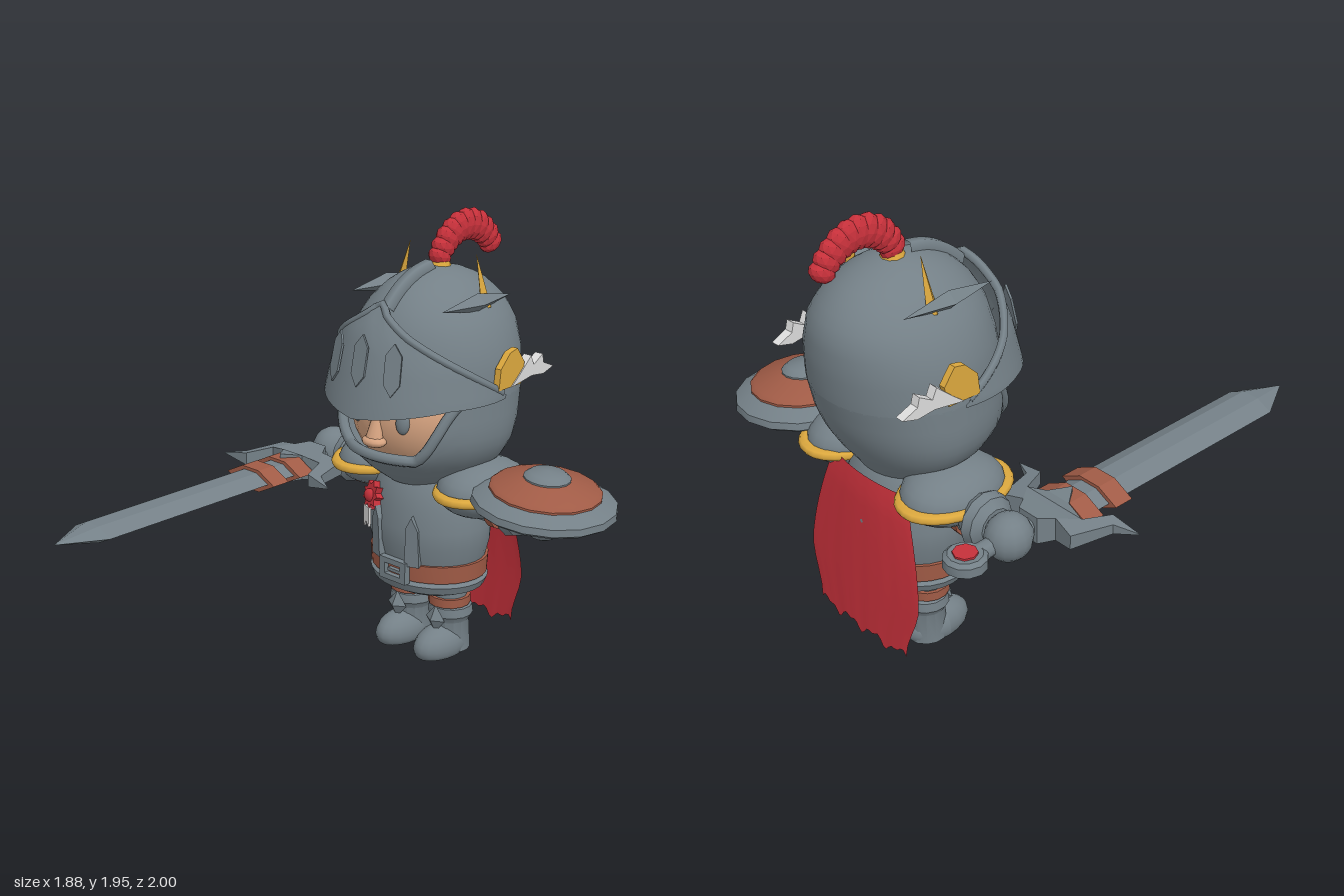
import * as THREE from 'three';
import { mergeVertices, toCreasedNormals } from 'three/addons/utils/BufferGeometryUtils.js';
import { ParametricGeometry } from 'three/addons/geometries/ParametricGeometry.js';

const mat = (name, color, side = THREE.FrontSide) => {
  const m = new THREE.MeshStandardMaterial({ color, side });
  m.name = name;
  return m;
};
const PI = Math.PI;
const V = (x, y, z) => new THREE.Vector3(x, y, z);
const { clamp, smoothstep, lerp } = THREE.MathUtils;

// Helmet profile rows: height, half width, front z, back z
const ROWS = [
  [0.82, 0.17, -0.38, -0.76], [0.88, 0.26, -0.3, -0.8], [0.95, 0.33, -0.23, -0.85],
  [1.02, 0.37, -0.19, -0.89], [1.1, 0.383, -0.18, -0.925], [1.25, 0.38, -0.2, -0.965],
  [1.4, 0.363, -0.225, -0.975], [1.52, 0.32, -0.255, -0.965], [1.61, 0.255, -0.31, -0.91],
  [1.68, 0.18, -0.39, -0.825], [1.725, 0.1, -0.49, -0.715], [1.745, 0, -0.6, -0.6],
];
// Point on the helmet at azimuth a (0 = front), height y, pushed out by off
function shell(a, y, off = 0, target = V(0, 0, 0)) {
  let i = 0;
  while (i < ROWS.length - 2 && y > ROWS[i + 1][0]) i++;
  const p = ROWS[i], q = ROWS[i + 1], t = clamp((y - p[0]) / (q[0] - p[0]), 0, 1);
  const c = Math.cos(a);
  const depth = Math.abs(lerp(p[c > 0 ? 2 : 3], q[c > 0 ? 2 : 3], t) + 0.6);
  return target.set((lerp(p[1], q[1], t) + off) * Math.sin(a), y, -0.6 + (depth + off) * c);
}
// Smooth grid surface with the seam welded
function surface(fn, nu, nv) {
  const g = new ParametricGeometry(fn, nu, nv);
  g.deleteAttribute('uv');
  g.deleteAttribute('normal');
  const m = mergeVertices(g);
  m.computeVertexNormals();
  return m;
}
const flat = (g) => toCreasedNormals(g, 0.1);
const lathe = (pts, n = 20) =>
  toCreasedNormals(new THREE.LatheGeometry(pts.map((p) => new THREE.Vector2(...p)), n), 0.6);
const ball = (n = 18) => new THREE.SphereGeometry(1, n, Math.ceil(n * 0.7));
function plate(pts, depth) {
  const s = new THREE.Shape(pts.map((p) => new THREE.Vector2(...p)));
  return new THREE.ExtrudeGeometry(s, { depth, bevelEnabled: false }).translate(0, 0, -depth / 2);
}

export function createModel() {
  const steel = mat('steel', 0x748087, THREE.DoubleSide);
  const brown = mat('leather', 0xa05b46);
  const red = mat('red cloth', 0xc5303a, THREE.DoubleSide);
  const gold = mat('gold', 0xdca83e);
  const skin = mat('skin', 0xd6a380);
  const white = mat('white', 0xdcdcdc);
  const dark = mat('brow brown', 0x5a3828);

  const model = new THREE.Group();
  model.name = 'knight';
  function add(name, geo, m, pos = [0, 0, 0], scale = [1, 1, 1], rot = [0, 0, 0], parent = model) {
    const mesh = new THREE.Mesh(geo, m);
    mesh.name = name;
    mesh.position.set(...pos);
    mesh.scale.set(...scale);
    mesh.rotation.set(...rot);
    parent.add(mesh);
    return mesh;
  }

  // Helmet: lower bowl with face opening, dome, opening rim
  const edge = (a) => lerp(0.985, 1.24, smoothstep(Math.abs(a), 0.55, 1.08));
  add('helmetBowl', surface((u, v, t) => {
    const a = (u * 2 - 1) * PI;
    shell(a, lerp(0.82, edge(a), v), 0, t);
  }, 48, 10), steel);
  add('helmetDome', surface((u, v, t) =>
    shell((u * 2 - 1) * PI, 1.235 + 0.51 * Math.sin(v * PI / 2), 0, t), 40, 14), steel);
  const rim = [];
  for (let a = -1.15; a <= 1.151; a += 0.115) rim.push(shell(a, edge(a), -0.008));
  add('faceRim', new THREE.TubeGeometry(new THREE.CatmullRomCurve3(rim), 40, 0.024, 8), steel);

  // Visor with three diamond slits
  const visorPoint = (a, v, t, extra = 0) => {
    const k = Math.abs(a) / 1.6;
    const lo = 1.175 + 0.06 * Math.min(1, Math.abs(a) / 0.9), hi = 1.25 + 0.38 * (1 - k);
    return shell(a, lerp(lo, hi, v), 0.014 + extra + Math.cos(a) * (0.085 - 0.03 * v), t);
  };
  add('visor', surface((u, v, t) => visorPoint((u * 2 - 1) * 1.6, v, t), 32, 8), steel);
  add('visorEdge', new THREE.TubeGeometry(new THREE.CatmullRomCurve3(
    Array.from({ length: 21 }, (_, i) => visorPoint((i / 10 - 1) * 1.55, 1, V(0, 0, 0), -0.01))), 40, 0.018, 6), steel);
  for (const a of [-0.36, 0, 0.36]) {
    const slit = plate([[0, -0.11], [0.036, -0.06], [0.036, 0.06], [0, 0.11], [-0.036, 0.06], [-0.036, -0.06]], 0.009);
    const p = visorPoint(a, 0.52, V(0, 0, 0), 0.006);
    const mesh = add('visorSlit', slit, steel, [p.x, a ? 1.4 : 1.415, p.z]);
    mesh.rotation.order = 'YXZ';
    mesh.rotation.set(-0.2, a, 0);
  }

  // Crown ridge, plume socket and beaded plume
  const ridge = [1.6, 1.65, 1.69, 1.72, 1.738].map((y) => shell(0, y, 0.005));
  add('crownRidge', new THREE.TubeGeometry(new THREE.CatmullRomCurve3(ridge), 12, 0.035, 6), steel);
  add('plumeSocket', new THREE.CylinderGeometry(0.03, 0.06, 0.07, 10), gold, [0, 1.745, -0.62]);
  const plume = new THREE.CatmullRomCurve3([V(0, 1.77, -0.62), V(0, 1.83, -0.66), V(0, 1.88, -0.75),
    V(0, 1.87, -0.85), V(0, 1.81, -0.93), V(0, 1.78, -0.95)]);
  for (let i = 0; i <= 10; i++) {
    const p = plume.getPointAt(i / 10), s = 0.058 + 0.014 * Math.sin(i / 10 * PI);
    add('plumeBead', flat(new THREE.IcosahedronGeometry(1, 1)), red, p.toArray(), [0.045, s, s * 0.72],
      [Math.atan2(-plume.getTangentAt(i / 10).y, plume.getTangentAt(i / 10).z), 0, 0]);
  }

  // Face
  add('face', ball(28), skin, [0, 1.13, -0.56], [0.33, 0.3, 0.325]);
  add('nose', new THREE.CylinderGeometry(0.018, 0.05, 0.13, 10), skin, [0, 1.095, -0.235], [1, 1, 0.75], [-0.15, 0, 0]);
  add('noseTip', ball(12), skin, [0, 1.045, -0.228], [0.06, 0.026, 0.045]);

  for (const s of [-1, 1]) {
    add('eye', ball(14), steel, [s * 0.13, 1.145, -0.262], [0.031, 0.05, 0.022], [0, s * 0.4, 0]);
    add('eyebrow', new THREE.BoxGeometry(0.11, 0.012, 0.009), dark, [s * 0.135, 1.212, -0.272], [1, 1, 1], [0, s * 0.45, s * 0.12]);

    // Helmet side fins, spikes and wings
    add('sideFin', flat(new THREE.OctahedronGeometry(1)), steel, [s * 0.255, 1.625, -0.57], [0.045, 0.04, 0.22]);
    add('spike', flat(new THREE.ConeGeometry(0.028, 0.23, 4)), gold, [s * 0.215, 1.7, -0.64], [1, 1, 1], [0, 0, s * 0.27]);
    const wing = new THREE.Group();
    wing.name = 'helmetWing';
    wing.position.set(s * 0.385, 0, -0.6);
    wing.rotation.y = -PI / 2 + s * 0.04;
    model.add(wing);
    add('goldFeathers', plate([[0.05, 1.28], [0.04, 1.37], [-0.02, 1.43], [-0.07, 1.44], [-0.12, 1.37], [-0.1, 1.28]], 0.03), gold, [0, 0, 0], [1, 1, 1], [0, 0, 0], wing);
    add('whiteFeathers', plate([[-0.03, 1.28], [-0.08, 1.32], [-0.16, 1.39], [-0.18, 1.345], [-0.24, 1.38], [-0.25, 1.34],
      [-0.32, 1.31], [-0.25, 1.29], [-0.17, 1.3]], 0.04), white, [0, 0, 0], [1, 1, 1], [0, 0, 0], wing);

    // Shoulder, arm and fist
    add('shoulderPlate', ball(20), steel, [s * 0.29, 0.82, -0.6], [0.175, 0.125, 0.23], [0, 0, -s * 0.08]);
    add('shoulderTrim', new THREE.TorusGeometry(0.165, 0.022, 8, 28).rotateX(PI / 2), gold, [s * 0.3, 0.815, -0.6], [1, 1, 1.42]);
    const across = [0, 0, -s * PI / 2];
    add('upperArm', new THREE.CylinderGeometry(0.085, 0.09, 0.24, 14), steel, [s * 0.36, 0.76, -0.6], [1, 1, 1], across);
    add('armBand', new THREE.CylinderGeometry(0.093, 0.093, 0.035, 14), brown, [s * 0.39, 0.75, -0.6], [1, 1, 1], across);
    add('cuff', lathe([[0, -0.06], [0.09, -0.06], [0.12, -0.01], [0.11, 0.03], [0.075, 0.06], [0, 0.06]], 12),
      steel, [s * 0.48, 0.765, -0.6], [1, 1, 1], across);
    add('fist', ball(14), steel, [s * 0.62, 0.765, -0.61], [0.095, 0.1, 0.1]);

    // Leg and boot
    const x = s * 0.115;
    add('leg', new THREE.CylinderGeometry(0.082, 0.075, 0.2, 14), steel, [x, 0.26, -0.6]);
    add('legStrap', new THREE.CylinderGeometry(0.094, 0.094, 0.04, 14), brown, [x, 0.25, -0.6]);
    add('bootShaft', lathe([[0, 0], [0.09, 0], [0.082, 0.14], [0.1, 0.17], [0.095, 0.21], [0.07, 0.22]], 14), steel, [x, 0.01, -0.61]);
    add('kneeGuard', flat(new THREE.OctahedronGeometry(1)), steel, [x, 0.17, -0.51], [0.055, 0.065, 0.035]);
    const foot = new THREE.SphereGeometry(1, 18, 12);
    const fp = foot.attributes.position;
    for (let i = 0; i < fp.count; i++) if (fp.getY(i) < -0.45) fp.setY(i, -0.45);
    foot.computeVertexNormals();
    add('foot', foot, steel, [x, 0.042, -0.553], [0.092, 0.093, 0.157]);

    // Raised breastplate strips
    add('chestStrip', flat(plate([[-0.035, -0.11], [0.035, -0.11], [0.03, 0.06], [0, 0.12], [-0.025, 0.07]], 0.03)), steel,
      [s * 0.1, 0.57, -0.367], [s, 1, 1], [0.03, s * 0.35, 0]);
  }

  // Torso, skirt and belt
  const body = new THREE.Group();
  body.name = 'body';
  body.position.z = -0.59;
  body.scale.z = 0.84;
  model.add(body);
  const inBody = (name, pts, m) => add(name, lathe(pts, 28), m, [0, 0, 0], [1, 1, 1], [0, 0, 0], body);
  inBody('torso', [[0, 0.34], [0.24, 0.36], [0.265, 0.46], [0.285, 0.54], [0.288, 0.62], [0.27, 0.71], [0.25, 0.8], [0.2, 0.87], [0, 0.89]], steel);
  inBody('skirt', [[0, 0.3], [0.2, 0.3], [0.265, 0.33], [0.28, 0.365], [0.24, 0.39], [0, 0.39]], steel);
  inBody('belt', [[0.24, 0.385], [0.275, 0.385], [0.28, 0.465], [0.24, 0.465]], brown);
  const frame = new THREE.Shape([[-0.075, -0.05], [0.075, -0.05], [0.075, 0.05], [-0.075, 0.05]].map((p) => new THREE.Vector2(...p)));
  frame.holes.push(new THREE.Path([[-0.045, -0.025], [-0.045, 0.025], [0.045, 0.025], [0.045, -0.025]].map((p) => new THREE.Vector2(...p))));
  add('buckle', new THREE.ExtrudeGeometry(frame, { depth: 0.03, bevelEnabled: false }), steel, [0.012, 0.425, -0.365]);
  add('bucklePin', new THREE.BoxGeometry(0.08, 0.014, 0.02), steel, [0.025, 0.425, -0.345]);

  // Rosette with ribbon
  const star = Array.from({ length: 18 }, (_, i) => {
    const r = i % 2 ? 0.045 : 0.066, a = i / 18 * 2 * PI;
    return [r * Math.cos(a), r * Math.sin(a)];
  });
  add('rosette', plate(star, 0.035), red, [-0.15, 0.72, -0.385], [1, 1, 1], [-0.25, -0.35, 0]);
  add('rosetteButton', ball(12), red, [-0.155, 0.722, -0.366], [0.03, 0.03, 0.02]);
  add('ribbon', plate([[-0.03, 0.1], [0.03, 0.1], [0.025, 0.01], [0, 0.03], [-0.025, 0]], 0.012), white, [-0.165, 0.57, -0.362], [1, 1, 1], [0, -0.4, 0]);

  // Cape with a ragged hem
  add('cape', surface((u, v, t) => {
    const k = u * 2 - 1, w = 0.23 + 0.11 * Math.sin(Math.min(1, v * 1.35) * PI / 2) - 0.07 * smoothstep(v, 0.62, 1);
    const hem = 0.1 + 0.018 * Math.sin(u * 22) + 0.012 * Math.sin(u * 47);
    t.set(w * k, lerp(0.82, hem, v), -0.8 - 0.06 * Math.sqrt(v) + 0.03 * k * k * (1 - v * 0.6));
  }, 32, 12), red);

  // Domed shield resting over the left hand
  const shield = new THREE.Group();
  shield.name = 'shield';
  shield.position.set(0.63, 0.87, -0.595);
  shield.rotation.z = -0.09;
  model.add(shield);
  const inShield = (name, pts, m) => add(name, lathe(pts, 16), m, [0, 0, 0], [1, 1, 1], [0, 0, 0], shield);
  inShield('shieldRim', [[0, 0.01], [0.24, -0.03], [0.29, -0.06], [0.31, -0.045], [0.305, -0.015], [0.23, 0.025], [0, 0.06]], steel);
  inShield('shieldFace', [[0.238, 0.0], [0.238, 0.03], [0.22, 0.045], [0.1, 0.078], [0.08, 0.06]], brown);
  inShield('shieldBoss', [[0.1, 0.05], [0.1, 0.085], [0.075, 0.105], [0, 0.112]], steel);

  // Sword pointing forward from the right hand
  const sword = new THREE.Group();
  sword.name = 'sword';
  sword.position.set(-0.61, 0.755, 0);
  model.add(sword);
  const inSword = (name, g, m, pos, scale, rot) => add(name, g, m, pos, scale, rot, sword);
  const diamond = (w, h, z0, z1) => {
    const g = plate([[w, 0], [w * 0.35, h], [-w * 0.35, h], [-w, 0], [-w * 0.35, -h], [w * 0.35, -h]], z1 - z0);
    return g.translate(0, 0, (z0 + z1) / 2);
  };
  inSword('blade', diamond(0.112, 0.036, -0.36, 0.8), steel);
  const tip = diamond(0.112, 0.036, 0.8, 1), tp = tip.attributes.position;
  for (let i = 0; i < tp.count; i++) if (tp.getZ(i) > 0.9) tp.setXY(i, 0, 0);
  inSword('bladeTip', flat(tip), steel);
  for (const z of [-0.17, -0.33]) inSword('bladeBand', diamond(0.15, 0.05, z, z + 0.09), brown);
  const half = [[0.05, -0.5], [0.09, -0.44], [0.19, -0.46], [0.24, -0.28], [0.335, -0.23], [0.2, -0.24], [0.15, -0.36], [0.06, -0.34]];
  const guard = plate([...half, [0, -0.26], ...half.map(([x, z]) => [-x, z]).reverse()], 0.14).rotateX(PI / 2);
  const gp = guard.attributes.position;
  for (let i = 0; i < gp.count; i++) gp.setY(i, gp.getY(i) * (1 - Math.abs(gp.getX(i)) / 0.345));
  inSword('guard', flat(guard), steel);
  inSword('grip', new THREE.CylinderGeometry(0.038, 0.038, 0.4, 10), steel, [0, 0, -0.6], [1, 1, 1], [PI / 2, 0, 0]);
  inSword('pommel', lathe([[0, -0.03], [0.07, -0.035], [0.088, -0.02], [0.088, 0.02], [0.07, 0.035], [0, 0.03]], 12), steel, [0, 0, -0.822]);
  inSword('pommelGem', new THREE.CylinderGeometry(0.05, 0.05, 0.084, 8), red, [0, 0, -0.822]);
  return model;
}
